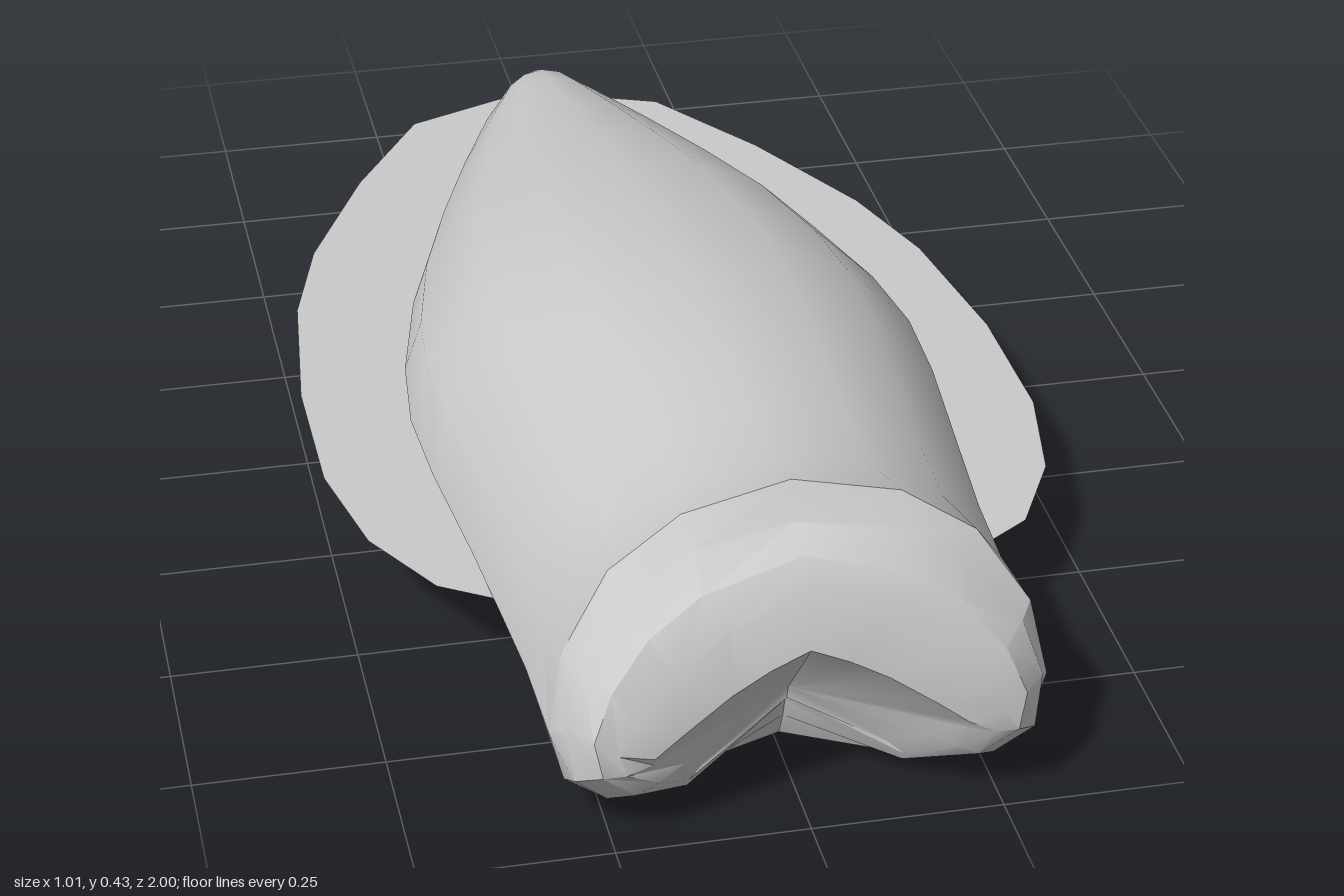
import * as THREE from 'three';
import { toCreasedNormals } from 'three/addons/utils/BufferGeometryUtils.js';

const material = new THREE.MeshStandardMaterial({ color: 0xcccccc, side: THREE.DoubleSide });

// Half cross-section, bottom centre to top centre: [x / half width, y fraction]
const PROFILE = [[0, 0], [0.4, 0.004], [0.76, 0.03], [0.9, 0.14], [1, 0.34], [0.93, 0.55], [0.68, 0.8], [0.38, 0.945], [0, 1]];

// Body stations, tail to collar: [z, half width, bottom y, top y]
const STATIONS = [
  [-0.905, 0.03, 0.085, 0.14], [-0.885, 0.052, 0.07, 0.16], [-0.85, 0.075, 0.06, 0.177],
  [-0.78, 0.11, 0.053, 0.195], [-0.6, 0.18, 0.045, 0.24], [-0.4, 0.25, 0.04, 0.29],
  [-0.2, 0.312, 0.034, 0.338], [0, 0.355, 0.027, 0.375], [0.15, 0.37, 0.022, 0.395],
  [0.3, 0.363, 0.016, 0.41], [0.5, 0.343, 0.01, 0.415], [0.65, 0.33, 0.006, 0.41], [0.78, 0.322, 0.008, 0.416],
];

// Folded mouth rings, each a half ring of [x, y, z] from bottom to top
const FOLDS = [
  [[0, 0.03, 0.82], [0.14, 0.012, 0.85], [0.25, 0.025, 0.89], [0.3, 0.07, 0.92], [0.32, 0.15, 0.93], [0.3, 0.25, 0.91], [0.235, 0.345, 0.88], [0.14, 0.405, 0.865], [0, 0.435, 0.86]],
  [[0, 0.07, 0.84], [0.14, 0.02, 0.88], [0.25, 0.05, 0.945], [0.295, 0.1, 0.97], [0.305, 0.17, 0.96], [0.28, 0.245, 0.945], [0.21, 0.325, 0.91], [0.13, 0.37, 0.895], [0, 0.388, 0.885]],
  [[0, 0.1, 0.85], [0.14, 0.03, 0.91], [0.22, 0.075, 0.98], [0.265, 0.12, 1], [0.275, 0.17, 0.995], [0.25, 0.23, 0.98], [0.2, 0.29, 0.96], [0.13, 0.335, 0.945], [0, 0.37, 0.935]],
  [[0, 0.11, 0.855], [0.14, 0.045, 0.92], [0.19, 0.09, 0.98], [0.235, 0.12, 1], [0.245, 0.15, 1], [0.22, 0.19, 1], [0.17, 0.245, 0.985], [0.1, 0.295, 0.97], [0, 0.335, 0.96]],
  [[0, 0.11, 0.86], [0.12, 0.06, 0.91], [0.155, 0.1, 0.96], [0.2, 0.125, 0.99], [0.2, 0.14, 1], [0.16, 0.17, 0.995], [0.1, 0.21, 0.985], [0.05, 0.237, 0.98], [0, 0.26, 0.98]],
];

function indexed(positions, index) {
  const g = new THREE.BufferGeometry();
  g.setAttribute('position', new THREE.Float32BufferAttribute(positions, 3));
  g.setIndex(index);
  return g;
}

// Skin closed rings, capping both ends with a fan
function bodyGeometry() {
  const halves = STATIONS.map(([z, w, lo, hi]) => PROFILE.map(([x, y]) => [x * w, lo + y * (hi - lo), z]));
  const rings = [...halves, ...FOLDS].map((half) => [
    ...half, ...half.slice(1, -1).reverse().map(([x, y, z]) => [-x, y, z]),
  ]);
  const n = rings[0].length;
  const points = rings.flat();
  const tail = points.push([0, 0.11, -0.912]) - 1;
  const throat = points.push([0, 0.13, 0.865]) - 1;
  const index = [];
  const last = (rings.length - 1) * n;
  for (let i = 0; i < n; i++) {
    const j = (i + 1) % n;
    for (let r = 0; r < last; r += n) {
      index.push(r + i, r + j, r + n + j, r + i, r + n + j, r + n + i);
    }
    index.push(tail, j, i, throat, last + i, last + j);
  }
  return toCreasedNormals(indexed(points.flat(), index), 0.5);
}

// Thin fin sheet, rising gently from tail to front: [half width, z, y]
function finGeometry() {
  const edge = [[0, -1, 0.065], [0.2, -0.91, 0.07], [0.32, -0.7, 0.082], [0.425, -0.46, 0.095], [0.475, -0.27, 0.106],
    [0.505, 0, 0.119], [0.505, 0.24, 0.126], [0.47, 0.42, 0.132], [0.4, 0.56, 0.14], [0.32, 0.62, 0.145]];
  const positions = edge.flatMap(([x, z, y]) => [-x, y, z, 0, y, z, x, y, z]);
  const index = [];
  for (let r = 0; r < (edge.length - 1) * 3; r += 3) {
    for (const a of [r, r + 1]) index.push(a, a + 3, a + 4, a, a + 4, a + 1);
  }
  const g = indexed(positions, index);
  g.computeVertexNormals();
  return g;
}

export function createModel() {
  const group = new THREE.Group();
  group.name = 'mantle';
  for (const [name, geometry] of [['body', bodyGeometry()], ['fin', finGeometry()]]) {
    const mesh = new THREE.Mesh(geometry, material);
    mesh.name = name;
    group.add(mesh);
  }
  return group;
}
